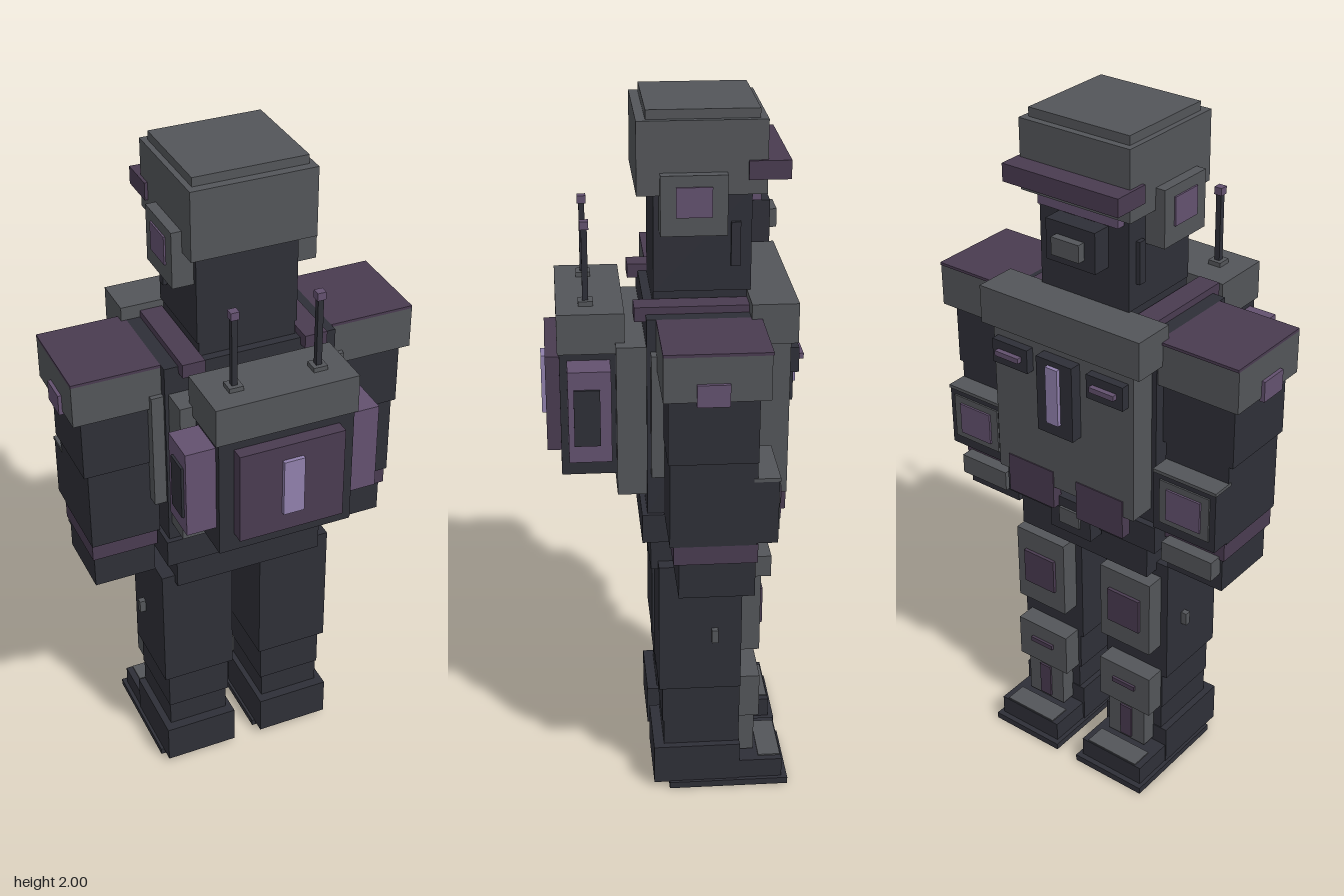
import * as THREE from 'three';

const mat = (name, color) => {
  const m = new THREE.MeshStandardMaterial({ color });
  m.name = name;
  return m;
};

export function createModel() {
  const dark = mat('dark slate', 0x2e2f37);
  const gray = mat('armour gray', 0x535559);
  const plum = mat('deep plum', 0x493b50);
  const violet = mat('muted violet', 0x63516f);
  const glow = mat('pale violet', 0x9080ac);

  const root = new THREE.Group();
  root.name = 'armouredFigure';
  const group = (name) => {
    const g = new THREE.Group();
    g.name = name;
    root.add(g);
    return g;
  };
  // Box given by its extents on each axis
  const box = (g, name, m, x0, x1, y0, y1, z0, z1) => {
    const mesh = new THREE.Mesh(new THREE.BoxGeometry(x1 - x0, y1 - y0, z1 - z0), m);
    mesh.position.set((x0 + x1) / 2, (y0 + y1) / 2, (z0 + z1) / 2);
    mesh.name = name;
    g.add(mesh);
  };
  // Box centred on x
  const mid = (g, name, m, w, ...r) => box(g, name, m, -w, w, ...r);
  // Box and its mirror image
  const pair = (g, name, m, x0, x1, ...r) => {
    box(g, name + 'Left', m, x0, x1, ...r);
    box(g, name + 'Right', m, -x1, -x0, ...r);
  };

  // Head and helmet
  const head = group('head');
  mid(head, 'face', dark, 0.145, 1.51, 1.79, -0.21, 0.05);
  mid(head, 'helmet', gray, 0.176, 1.78, 1.975, -0.245, 0.095);
  mid(head, 'helmetTop', gray, 0.16, 1.975, 2, -0.225, 0.07);
  mid(head, 'visorBrim', plum, 0.185, 1.82, 1.87, -0.305, -0.195);
  mid(head, 'eyeSlit', violet, 0.13, 1.75, 1.8, -0.235, -0.2);
  mid(head, 'mouthGuard', dark, 0.08, 1.62, 1.735, -0.265, -0.2);
  mid(head, 'mouthVent', gray, 0.045, 1.65, 1.7, -0.288, -0.26);
  pair(head, 'earGuard', gray, 0.14, 0.205, 1.68, 1.84, -0.14, 0.035);
  pair(head, 'earPanel', violet, 0.2, 0.21, 1.73, 1.81, -0.1, -0.005);
  pair(head, 'cheekTube', dark, 0.14, 0.157, 1.58, 1.7, -0.18, -0.155);

  // Torso
  const torso = group('torso');
  mid(torso, 'core', dark, 0.25, 0.9, 1.47, -0.23, 0.075);
  mid(torso, 'neckBase', dark, 0.14, 1.46, 1.53, -0.2, 0.05);
  pair(torso, 'collar', plum, 0.145, 0.21, 1.45, 1.49, -0.2, 0.105);
  mid(torso, 'chestPlate', gray, 0.235, 0.95, 1.4, -0.31, -0.2);
  mid(torso, 'chestLip', gray, 0.265, 1.4, 1.51, -0.325, -0.2);
  mid(torso, 'chestBadge', dark, 0.06, 1.15, 1.375, -0.345, -0.3);
  mid(torso, 'chestLight', glow, 0.02, 1.19, 1.36, -0.357, -0.34);
  pair(torso, 'chestTag', dark, 0.1, 0.22, 1.3, 1.37, -0.335, -0.3);
  pair(torso, 'chestTagStripe', violet, 0.12, 0.2, 1.33, 1.345, -0.35, -0.33);
  pair(torso, 'bellyPlate', plum, 0.04, 0.2, 0.88, 1, -0.313, -0.28);
  pair(torso, 'sidePlate', gray, 0.24, 0.285, 1.03, 1.38, -0.05, 0.065);
  mid(torso, 'backPlate', gray, 0.24, 0.96, 1.39, 0.07, 0.155);
  mid(torso, 'belt', dark, 0.262, 0.82, 0.905, -0.25, 0.09);
  mid(torso, 'buckle', dark, 0.07, 0.8, 0.91, -0.29, -0.24);
  mid(torso, 'buckleTrim', gray, 0.035, 0.83, 0.88, -0.297, -0.285);
  mid(torso, 'pelvis', dark, 0.225, 0.715, 0.82, -0.235, 0.065);

  // Backpack with antennas
  const pack = group('backpack');
  mid(pack, 'packBody', dark, 0.195, 1.005, 1.36, 0.15, 0.305);
  mid(pack, 'packCap', gray, 0.204, 1.36, 1.472, 0.13, 0.31);
  mid(pack, 'packPanel', plum, 0.152, 1.06, 1.335, 0.3, 0.343);
  mid(pack, 'packLight', glow, 0.03, 1.12, 1.29, 0.34, 0.355);
  pair(pack, 'sidePod', violet, 0.19, 0.28, 1.08, 1.34, 0.17, 0.285);
  pair(pack, 'sidePodVent', dark, 0.278, 0.287, 1.13, 1.29, 0.2, 0.27);
  pair(pack, 'antennaBase', gray, 0.1, 0.14, 1.47, 1.485, 0.21, 0.25);
  pair(pack, 'antennaRod', dark, 0.112, 0.128, 1.48, 1.68, 0.222, 0.238);
  pair(pack, 'antennaTip', violet, 0.108, 0.132, 1.68, 1.702, 0.218, 0.242);

  // Arms
  const arms = group('arms');
  pair(arms, 'shoulderPad', gray, 0.245, 0.5, 1.34, 1.462, -0.225, 0.05);
  pair(arms, 'shoulderTop', plum, 0.25, 0.5, 1.462, 1.47, -0.228, 0.05);
  pair(arms, 'shoulderBadge', violet, 0.495, 0.51, 1.33, 1.39, -0.12, -0.035);
  pair(arms, 'upperArm', dark, 0.25, 0.475, 1.155, 1.34, -0.2, 0.035);
  pair(arms, 'forearm', dark, 0.26, 0.463, 0.91, 1.155, -0.2, 0.03);
  pair(arms, 'forearmGuard', dark, 0.262, 0.463, 0.915, 1.095, -0.257, -0.19);
  pair(arms, 'guardTop', gray, 0.262, 0.465, 1.095, 1.105, -0.26, -0.19);
  pair(arms, 'guardRim', gray, 0.285, 0.445, 0.945, 1.08, -0.262, -0.25);
  pair(arms, 'guardScreen', violet, 0.31, 0.42, 0.965, 1.06, -0.268, -0.26);
  pair(arms, 'wristBand', plum, 0.265, 0.46, 0.855, 0.91, -0.205, 0.02);
  pair(arms, 'hand', dark, 0.27, 0.452, 0.75, 0.855, -0.2, 0.005);
  pair(arms, 'knucklePlate', gray, 0.28, 0.445, 0.805, 0.865, -0.243, -0.19);

  // Legs
  const legs = group('legs');
  pair(legs, 'thigh', dark, 0.045, 0.265, 0.34, 0.74, -0.19, 0.045);
  pair(legs, 'thighPlate', gray, 0.068, 0.242, 0.45, 0.695, -0.245, -0.185);
  pair(legs, 'thighPanel', plum, 0.1, 0.21, 0.52, 0.63, -0.255, -0.24);
  pair(legs, 'thighBolt', gray, 0.26, 0.283, 0.5, 0.54, -0.122, -0.104);
  pair(legs, 'calf', dark, 0.055, 0.25, 0.22, 0.345, -0.19, 0.035);
  pair(legs, 'ankle', dark, 0.062, 0.247, 0.13, 0.225, -0.19, 0.03);
  pair(legs, 'kneePlate', gray, 0.065, 0.245, 0.225, 0.36, -0.248, -0.185);
  pair(legs, 'kneeStripe', plum, 0.115, 0.195, 0.297, 0.312, -0.256, -0.24);
  pair(legs, 'shinPlate', gray, 0.09, 0.22, 0.09, 0.225, -0.237, -0.185);
  pair(legs, 'shinStripe', plum, 0.135, 0.175, 0.1, 0.21, -0.243, -0.23);
  pair(legs, 'boot', dark, 0.045, 0.268, 0.018, 0.14, -0.192, 0.06);
  pair(legs, 'toe', dark, 0.05, 0.265, 0.018, 0.08, -0.318, -0.19);
  pair(legs, 'toeCap', gray, 0.07, 0.245, 0.076, 0.084, -0.315, -0.25);
  pair(legs, 'sole', dark, 0.037, 0.277, 0, 0.02, -0.335, 0.015);

  return root;
}
